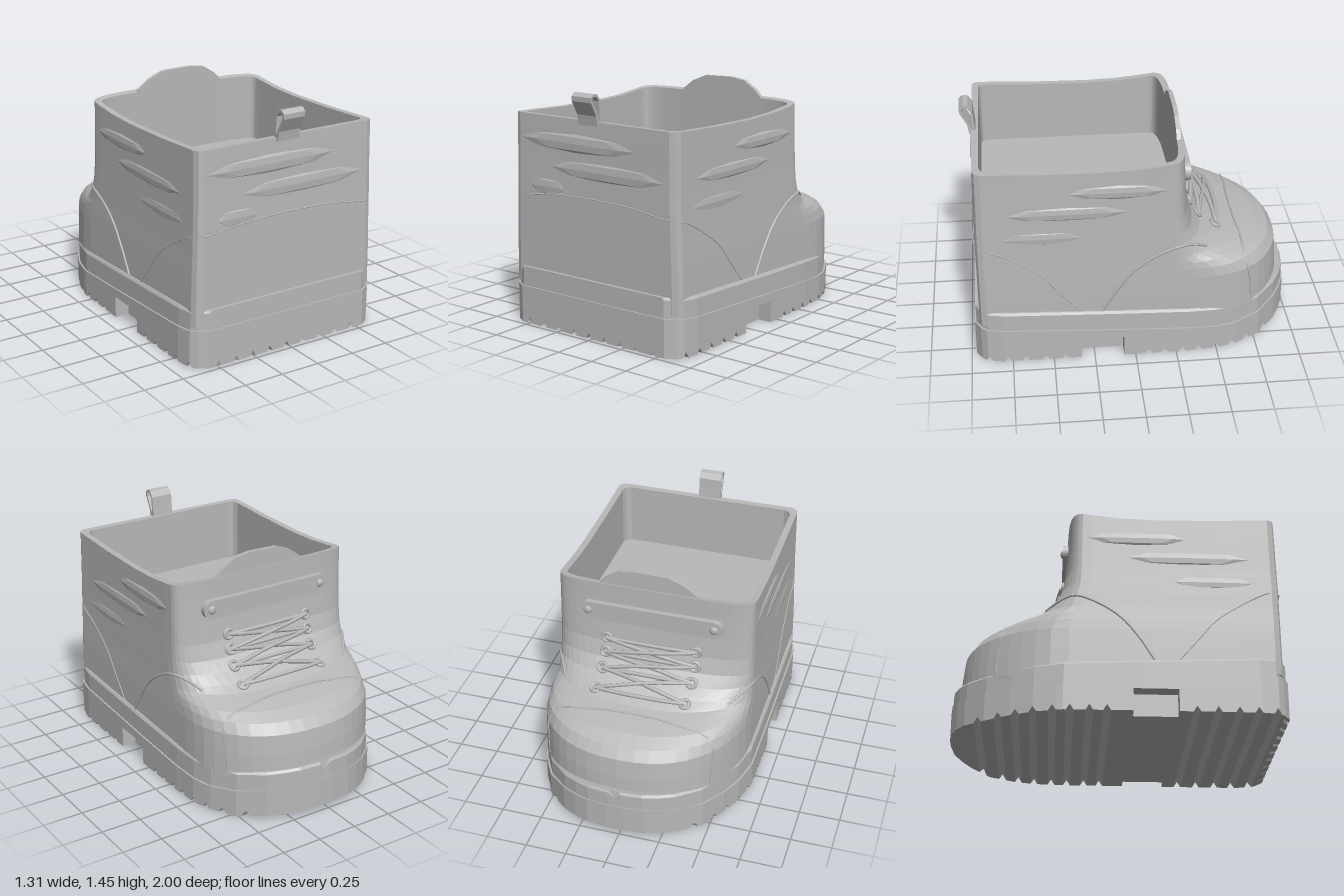
import * as THREE from 'three';

const V = (x, y, z) => new THREE.Vector3(x, y, z);

// Piecewise-linear lookup in rows sorted by their first entry
function lookup(rows, t, col = 1) {
  if (t <= rows[0][0]) return rows[0][col];
  for (let i = 1; i < rows.length; i++) {
    const a = rows[i - 1], b = rows[i];
    if (t <= b[0]) return a[col] + (b[col] - a[col]) * (t - a[0]) / (b[0] - a[0]);
  }
  return rows[rows.length - 1][col];
}

// The toe leans a little to one side
const lean = z => lookup([[-0.8, 0.027], [-0.6, 0.02], [-0.35, -0.005]], z);

// Closed faceted solid through equal-length loops, capped at both ends
function loft(loops) {
  const n = loops[0].length, tri = [];
  for (let i = 0; i + 1 < loops.length; i++) {
    for (let j = 0; j < n; j++) {
      const k = (j + 1) % n, a = loops[i], b = loops[i + 1];
      tri.push([a[j], a[k], b[k]], [a[j], b[k], b[j]]);
    }
  }
  const cap = (l, flip) => {
    const c = l.reduce((s, p) => s.add(p), V(0, 0, 0)).divideScalar(n);
    l.forEach((p, j) => tri.push(flip ? [c, l[(j + 1) % n], p] : [c, p, l[(j + 1) % n]]));
  };
  cap(loops[0], true);
  cap(loops[loops.length - 1], false);
  const volume = tri.reduce((s, [a, b, c]) => s + a.dot(b.clone().cross(c)), 0);
  const pos = tri.flatMap(t => (volume < 0 ? [t[0], t[2], t[1]] : t)).flatMap(p => [p.x + lean(p.z), p.y, p.z]);
  const g = new THREE.BufferGeometry();
  g.setAttribute('position', new THREE.Float32BufferAttribute(pos, 3));
  g.computeVertexNormals();
  return g;
}

// Sole half-width along z, and heights of its two bands
const OUTLINE = [[-1, 0.05], [-0.985, 0.18], [-0.95, 0.27], [-0.9, 0.357], [-0.78, 0.487], [-0.63, 0.575],
  [-0.5, 0.625], [-0.33, 0.653], [0.1, 0.657], [0.8, 0.656], [0.9, 0.64], [0.935, 0.61], [0.97, 0.55]];
const BAND = [[-1, 0.215], [-0.8, 0.17], [-0.6, 0.155], [0.97, 0.23]];
const WELT = [[-1, 0.32], [-0.85, 0.29], [-0.7, 0.285], [0.97, 0.35]];
const GROOVES = [0.89, 0.78, 0.67, 0.55, 0.43, -0.08, -0.18, -0.29, -0.39, -0.5, -0.6, -0.7, -0.82];

// Upper: y, half-width, heel z, toe z, start of the toe curve, squareness
const UPPER = [
  [0.25, 0.628, 0.94, -0.95, -0.3, 2.25], [0.4, 0.626, 0.94, -0.943, -0.3, 2.25],
  [0.52, 0.624, 0.94, -0.93, -0.3, 2.25], [0.58, 0.622, 0.94, -0.885, -0.28, 2.2],
  [0.62, 0.62, 0.94, -0.8, -0.26, 2.15], [0.645, 0.619, 0.94, -0.7, -0.24, 2.1],
  [0.665, 0.618, 0.94, -0.6, -0.23, 2.2], [0.7, 0.617, 0.94, -0.52, -0.22, 2.4],
  [0.75, 0.616, 0.94, -0.435, -0.2, 2.8], [0.82, 0.614, 0.94, -0.375, -0.18, 3.4],
  [0.92, 0.611, 0.938, -0.34, -0.17, 4], [1.05, 0.609, 0.936, -0.325, -0.17, 4.3],
  [1.2, 0.607, 0.934, -0.315, -0.17, 4.5], [1.28, 0.606, 0.932, -0.312, -0.17, 4.5]];
const upperAt = y => [1, 2, 3, 4, 5].map(c => lookup(UPPER, y, c));
const rimY = z => 1.262 + (z > 0.2 ? 0.04 : 0.18) * (z - 0.2) ** 2;

function upperLoop([W, B, F, s, n], yOf, r = 0.045) {
  const half = [[W - r, B], [W - r * 0.3, B - r * 0.3], [W, B - r], [W, 0.55], [W, 0.2], [W, 0]];
  for (let i = 0; i <= 12; i++) {
    const a = i / 12 * Math.PI / 2;
    half.push([W * Math.max(0, Math.cos(a)) ** (2 / n), s - (s - F) * Math.sin(a) ** (2 / n)]);
  }
  half[half.length - 1][0] = 0;
  const mirror = half.slice(0, -1).reverse().map(([x, z]) => [-x, z]);
  return [...half, ...mirror].map(([x, z]) => V(x, yOf(z), z));
}

// Points on the upper: flank from (y, z), instep from (x, y)
function flank(side, y, z, out = 0.002) {
  const [W, , F, s, n] = upperAt(y);
  const t = Math.min(1, Math.max(0, (s - z) / (s - F)));
  return V(side * (W * (1 - t ** n) ** (1 / n) + out) + lean(z), y, z);
}
function instep(x, y) {
  const [W, , F, s, n] = upperAt(y);
  const z = s - (s - F) * (1 - Math.min(1, Math.abs(x) / W) ** n) ** (1 / n);
  return V(x + lean(z), y, z);
}
function instepNormal(x, y) {
  const d = 0.02;
  const dx = instep(x + d, y).sub(instep(x - d, y)), dy = instep(x, y + d).sub(instep(x, y - d));
  return dy.cross(dx).normalize();
}
const raised = (x, y, h) => instep(x, y).addScaledVector(instepNormal(x, y), h);

export function createModel() {
  const boot = new THREE.Group();
  boot.name = 'boot';
  const grey = new THREE.MeshStandardMaterial({ color: 0xb8b8b8 });
  grey.name = 'grey';
  const add = (name, geometry) => {
    const m = new THREE.Mesh(geometry, grey);
    m.name = name;
    boot.add(m);
    return m;
  };
  const tube = (name, pts, r, seg = 28) =>
    add(name, new THREE.TubeGeometry(new THREE.CatmullRomCurve3(pts), seg, r, 6));

  // Outsole with cross grooves and a notch in each flank
  const stations = [...OUTLINE.map(o => o[0]).filter(z => z < 0.94), 0.07, 0.0701, 0.3299, 0.33,
    ...GROOVES.flatMap(g => [g - 0.022, g, g + 0.022])];
  const zs = [...new Set(stations)].sort((a, b) => a - b);
  add('outsole', loft(zs.map(z => {
    const w = lookup(OUTLINE, z), top = lookup(BAND, z);
    const inner = z > 0.07 && z < 0.33 ? w - 0.09 : w;
    const lift = Math.max(0, -0.78 - z) * 0.16;
    const groove = Math.max(0, ...GROOVES.map(g => 0.035 * (1 - Math.abs(z - g) / 0.022)));
    const half = [[w, top], [w, 0.135], [inner, 0.135], [inner, lift + groove]];
    return [...half, ...half.slice().reverse().map(([x, y]) => [-x, y])].map(([x, y]) => V(x, y, z));
  })));

  // Toothed heel edge, narrowing towards the back
  const comb = new THREE.Shape();
  comb.moveTo(-0.61, 0.23).lineTo(-0.61, 0);
  for (let i = -4; i <= 4; i++) {
    const x = i * 0.132 - 0.015;
    comb.lineTo(x - 0.022, 0).lineTo(x, 0.035).lineTo(x + 0.022, 0);
  }
  comb.lineTo(0.61, 0).lineTo(0.61, 0.23);
  const heel = new THREE.ExtrudeGeometry(comb, { depth: 0.036, bevelEnabled: false }).translate(0, 0, 0.934);
  const hp = heel.attributes.position;
  for (let i = 0; i < hp.count; i++) hp.setX(i, hp.getX(i) * (hp.getZ(i) > 0.95 ? 0.9 : 1) - 0.005);
  heel.computeVertexNormals();
  add('heelEdge', heel);

  // Welt band above the sole
  add('welt', loft(OUTLINE.map(([z, w]) => {
    const a = lookup(BAND, z) - 0.02, b = lookup(WELT, z), x = Math.max(0.03, w - 0.01);
    const zz = z * 0.991, zt = z > 0.95 ? zz : zz * 0.992;
    return [V(x, a, zz), V(x, b - 0.015, zz), V(x - 0.01, b, zt),
      V(-x + 0.01, b, zt), V(-x, b - 0.015, zz), V(-x, a, zz)];
  })));

  // Upper: outer wall, rim, inner wall and insole
  const loops = UPPER.slice(0, -1).map(([y, ...p]) => upperLoop(p, () => y));
  const [W, B, F, s, n] = upperAt(1.28);
  const inside = [W - 0.04, B - 0.04, F + 0.04, s, n];
  loops.push(upperLoop([W, B, F, s, n], rimY), upperLoop(inside, rimY), upperLoop(inside, () => 0.88));
  add('upper', loft(loops));

  // Leather folds around the shaft: y, centre, length
  const fold = (size, pos) => {
    const g = new THREE.SphereGeometry(1, 8, 4).toNonIndexed();
    g.scale(...size);
    g.computeVertexNormals();
    add('leatherFold', g).position.set(...pos);
  };
  for (const [y, c, len] of [[1.14, -0.12, 0.9], [0.99, 0.1, 0.95], [0.86, -0.35, 0.32]])
    fold([len / 2, 0.055, 0.012], [c, y, 0.934]);
  for (const side of [1, -1])
    for (const [y, c, len] of [[1.13, 0.1, 0.6], [1.0, 0.4, 0.8], [0.84, 0.55, 0.6]])
      fold([0.012, 0.045, len / 2], [side * 0.607 - 0.005, y, c]);

  // Seams of the heel counter, quarters and toe cap
  const counter = [[0.32, 0.33], [0.46, 0.45], [0.58, 0.55], [0.7, 0.72], [0.78, 0.88]];
  const right = counter.map(([y, z]) => flank(1, y, z, 0));
  const left = counter.map(([y, z]) => flank(-1, y, z, 0)).reverse();
  tube('counterSeam', [...right, V(0.57, 0.79, 0.939), V(0.25, 0.825, 0.939), V(-0.25, 0.825, 0.939),
    V(-0.58, 0.79, 0.939), ...left], 0.004, 60);
  for (const side of [1, -1]) {
    tube('quarterSeam', [[0.32, 0.2], [0.48, 0.1], [0.6, 0], [0.69, -0.13], [0.74, -0.27], [0.72, -0.36],
      [0.68, -0.44]].map(([y, z]) => flank(side, y, z)), 0.008);
    tube('toeCapSideSeam', [[0.29, -0.72], [0.42, -0.71], [0.53, -0.69], [0.6, -0.67]]
      .map(([y, z]) => flank(side, y, z, 0)), 0.005);
  }
  const capTop = side => [0.6, 0.625, 0.642].map(y => flank(side, y, -0.67));
  tube('toeCapSeam', [...capTop(1), V(0.22, 0.652, -0.66), V(-0.18, 0.652, -0.66),
    ...capTop(-1).reverse()], 0.006, 40);

  // Eyelets and crossed laces
  const levels = [0.69, 0.77, 0.86, 0.95];
  const lace = (y0, y1, h) => tube('lace', [0, 1, 2, 3, 4, 5, 6].map(i => {
    const t = i / 6;
    return raised(-0.28 + 0.56 * t, y0 + (y1 - y0) * t, 0.012 + h * Math.sin(t * Math.PI));
  }), 0.013);
  levels.forEach((y, i) => {
    for (const x of [-0.28, 0.28]) {
      const ring = add('eyelet', new THREE.TorusGeometry(0.028, 0.011, 6, 12));
      ring.position.copy(raised(x, y, 0.006));
      ring.quaternion.setFromUnitVectors(V(0, 0, 1), instepNormal(x, y));
    }
    lace(y, y, 0.008);
    if (i < 3) {
      lace(y, levels[i + 1], 0.022);
      lace(levels[i + 1], y, 0.03);
    }
  });

  // Strap across the instep with a rivet at each end
  const strap = new THREE.Shape();
  strap.absarc(0.39, 0, 0.055, -Math.PI / 2, Math.PI / 2).absarc(-0.39, 0, 0.055, Math.PI / 2, Math.PI * 1.5);
  const band = new THREE.ExtrudeGeometry(strap, { depth: 0.045, bevelEnabled: false, curveSegments: 8 });
  add('strap', band.translate(0, 1.13, -0.345));
  for (const x of [-0.39, 0.39]) {
    const rivet = add('rivet', new THREE.SphereGeometry(0.026, 10, 6));
    rivet.scale.z = 0.5;
    rivet.position.set(x, 1.13, -0.345);
  }

  // Tongue rising above the rim
  const vec = list => list.map(p => new THREE.Vector2(...p));
  const tongue = new THREE.Shape(vec([[-0.28, 1.26], [0.33, 1.26], [0.33, 1.3], [0.28, 1.35], [0.2, 1.4],
    [0.1, 1.415], [-0.1, 1.41], [-0.2, 1.37], [-0.28, 1.31]]));
  add('tongue', new THREE.ExtrudeGeometry(tongue, { depth: 0.027, bevelEnabled: false }).translate(0, 0, -0.297));

  // Pull loop at the heel
  const loop = new THREE.Shape(vec([[0.905, 1.26], [0.945, 1.26], [0.955, 1.32], [0.998, 1.4], [1, 1.43], [0.975, 1.45],
    [0.945, 1.445], [0.92, 1.41], [0.915, 1.35]]));
  loop.holes.push(new THREE.Path(vec([[0.925, 1.29], [0.928, 1.35], [0.932, 1.405], [0.952, 1.432],
    [0.972, 1.435], [0.985, 1.425], [0.983, 1.4], [0.94, 1.32]])));
  const tab = new THREE.ExtrudeGeometry(loop, { depth: 0.145, bevelEnabled: false });
  add('pullLoop', tab.rotateY(-Math.PI / 2).translate(0.053, 0, 0));

  return boot;
}
